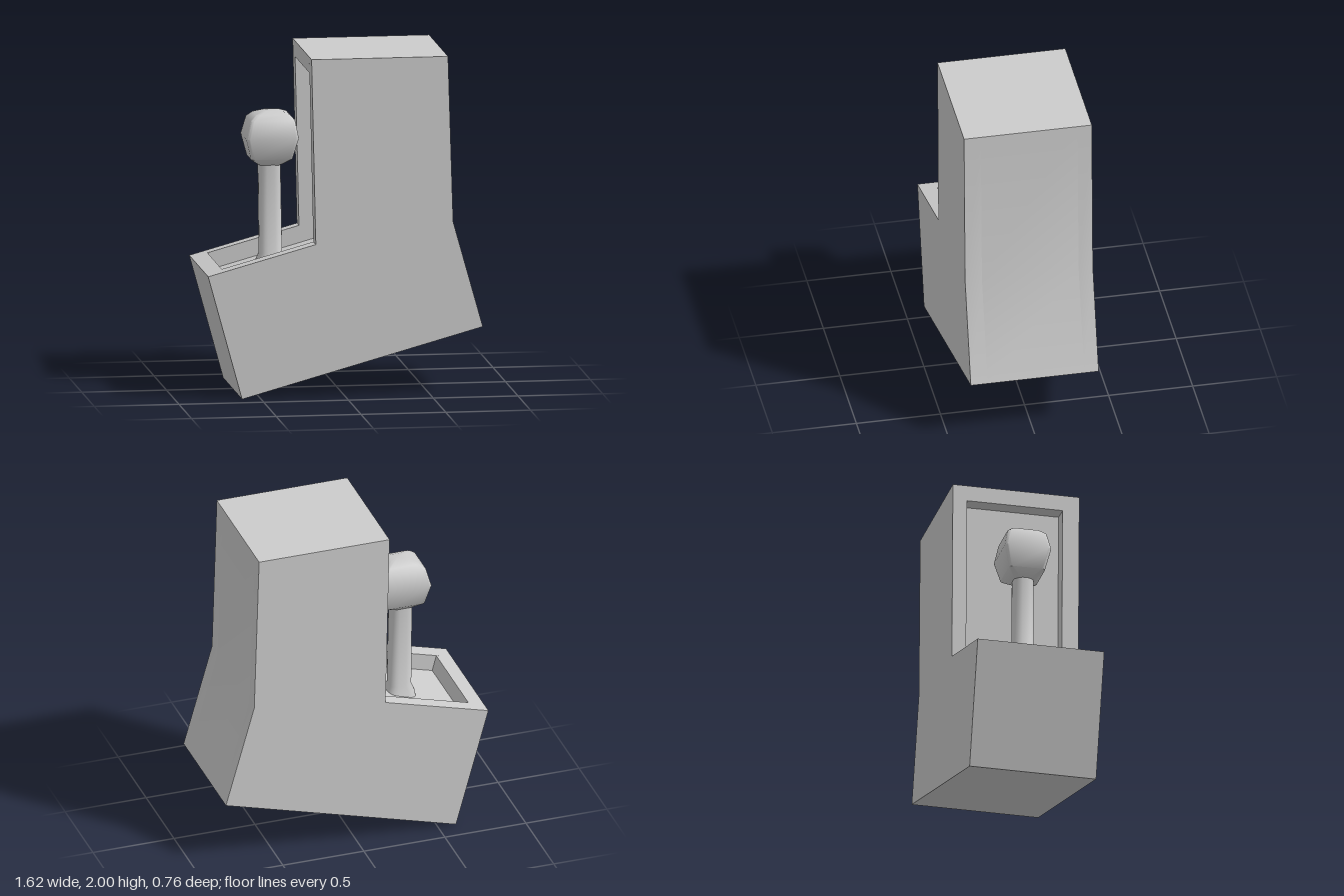
import * as THREE from 'three';
import { toCreasedNormals } from 'three/addons/utils/BufferGeometryUtils.js';

const material = new THREE.MeshStandardMaterial({ color: 0xcccccc });

// Extrude a side profile (x, y) between two depths
function slab(name, points, z0, z1) {
  const shape = new THREE.Shape(points.map(([x, y]) => new THREE.Vector2(x, y)));
  const geo = new THREE.ExtrudeGeometry(shape, { depth: z1 - z0, bevelEnabled: false });
  geo.translate(0, 0, z0);
  const mesh = new THREE.Mesh(toCreasedNormals(geo, 0.5), material);
  mesh.name = name;
  return mesh;
}

// Skin stacked rounded rectangles: [y, centreX, halfX, halfZ, corner radius]
function stack(name, rings, zc, crease) {
  const pos = [], index = [], seg = 4, n = 4 * (seg + 1);
  for (const [y, xc, hx, hz, r] of rings) {
    for (let c = 0; c < 4; c++) {
      const sx = c === 0 || c === 3 ? 1 : -1, sz = c < 2 ? 1 : -1;
      for (let k = 0; k <= seg; k++) {
        const a = (c + k / seg) * Math.PI / 2;
        pos.push(xc + sx * (hx - r) + r * Math.cos(a), y, zc + sz * (hz - r) + r * Math.sin(a));
      }
    }
  }
  for (let i = 0; i < rings.length - 1; i++) {
    for (let j = 0; j < n; j++) {
      const a = i * n + j, b = i * n + (j + 1) % n, c = a + n, d = b + n;
      index.push(a, c, b, b, c, d);
    }
  }
  // Top cap
  const last = (rings.length - 1) * n, top = rings[rings.length - 1];
  pos.push(top[1], top[0], zc);
  for (let j = 0; j < n; j++) index.push(rings.length * n, last + (j + 1) % n, last + j);
  const geo = new THREE.BufferGeometry();
  geo.setAttribute('position', new THREE.Float32BufferAttribute(pos, 3));
  geo.setIndex(index);
  const mesh = new THREE.Mesh(toCreasedNormals(geo, crease), material);
  mesh.name = name;
  return mesh;
}

export function createModel() {
  const group = new THREE.Group();
  group.name = 'leverHousing';

  // Bent housing: the sides have the full profile, the core is cut back to form the recess
  const back = [[-0.61, 0], [0.81, 0.395], [0.635, 1.02], [0.605, 2], [-0.2, 2]];
  const full = [...back, [-0.175, 0.905], [-0.81, 0.73]];
  const cut = [...back, [-0.198, 1.905], [-0.098, 1.907], [-0.073, 0.831],
    [-0.69, 0.66], [-0.715, 0.756], [-0.81, 0.73]];
  const housing = new THREE.Group();
  housing.name = 'housing';
  housing.add(
    slab('frontWall', full, 0.28, 0.38),
    slab('recessedCore', cut, -0.295, 0.28),
    slab('backWall', full, -0.38, -0.295),
  );
  group.add(housing);

  // Lever: flared shaft and faceted square knob
  const lever = new THREE.Group();
  lever.name = 'lever';
  lever.add(
    stack('shaft', [
      [0.68, -0.384, 0.095, 0.09, 0.05],
      [0.755, -0.385, 0.085, 0.08, 0.05],
      [0.8, -0.386, 0.067, 0.062, 0.045],
      [1.34, -0.394, 0.065, 0.06, 0.045],
    ], -0.008, 0.9),
    stack('knob', [
      [1.315, -0.393, 0.05, 0.045, 0.03],
      [1.33, -0.393, 0.075, 0.068, 0.03],
      [1.365, -0.391, 0.122, 0.108, 0.02],
      [1.49, -0.39, 0.155, 0.139, 0.022],
      [1.595, -0.386, 0.131, 0.117, 0.02],
      [1.625, -0.383, 0.1, 0.088, 0.02],
      [1.643, -0.38, 0.05, 0.042, 0.015],
    ], -0.008, 0.7),
  );
  group.add(lever);
  return group;
}
